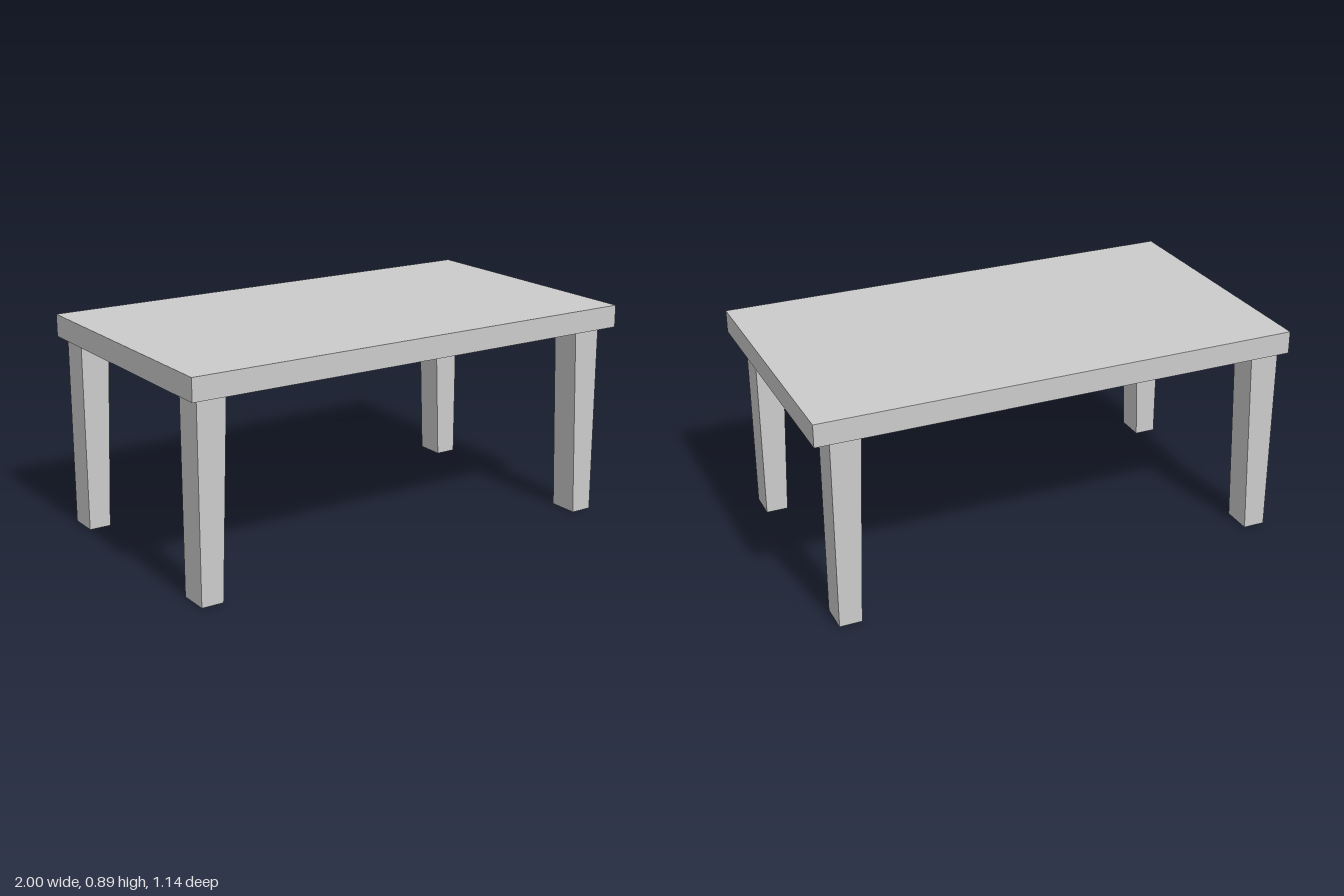
import * as THREE from 'three';

const material = new THREE.MeshStandardMaterial({ color: 0xcccccc, flatShading: true });

// Leg with a straight outer face and an inner face that tapers towards the floor
function makeLeg(name, side, outerX, centreZ) {
  const height = 0.8, topWidth = 0.122, footWidth = 0.092, depth = 0.127;
  const profile = new THREE.Shape([
    new THREE.Vector2(side * outerX, 0),
    new THREE.Vector2(side * outerX, height),
    new THREE.Vector2(side * (outerX - topWidth), height),
    new THREE.Vector2(side * (outerX - footWidth), 0),
  ]);
  const geometry = new THREE.ExtrudeGeometry(profile, { depth, bevelEnabled: false });
  geometry.translate(0, 0, centreZ - depth / 2);
  const leg = new THREE.Mesh(geometry, material);
  leg.name = name;
  return leg;
}

export function createModel() {
  const table = new THREE.Group();
  table.name = 'table';

  // Flat slab top
  const top = new THREE.Mesh(new THREE.BoxGeometry(2, 0.093, 1.142), material);
  top.name = 'tableTop';
  top.position.y = 0.8465;
  table.add(top);

  // Four legs; the right pair stands slightly nearer the edge
  for (const [end, z] of [['front', 0.478], ['back', -0.478]]) {
    table.add(makeLeg(end + 'LeftLeg', 1, 0.933, z));
    table.add(makeLeg(end + 'RightLeg', -1, 0.968, z));
  }
  return table;
}
